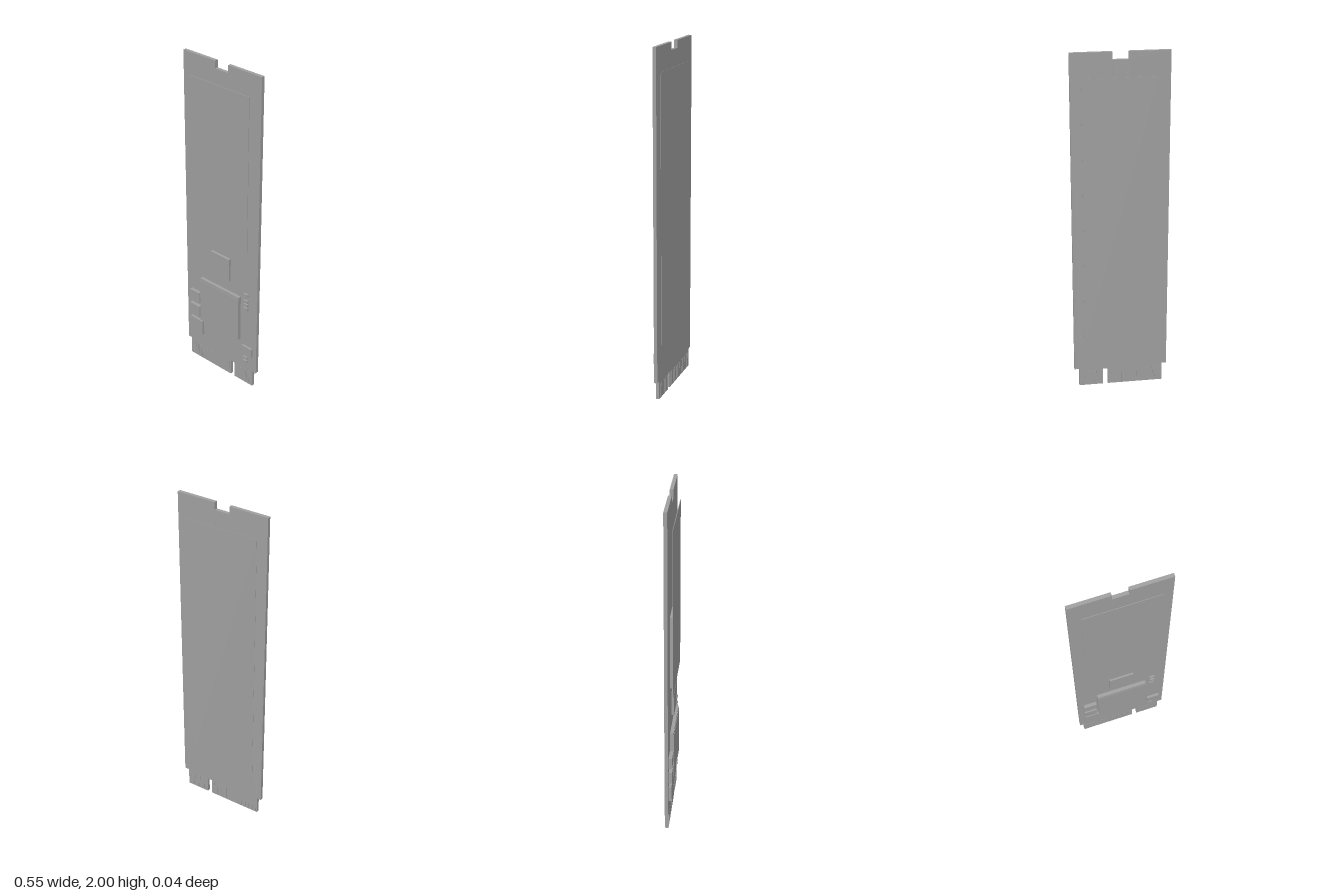
import * as THREE from 'three';

const FRONT = -0.002; // front face of the circuit board
const BACK = -0.022; // rear face of the circuit board

export function createModel() {
  const grey = new THREE.MeshStandardMaterial({ color: 0xa0a0a0 });
  grey.name = 'plain grey';
  const model = new THREE.Group();
  model.name = 'storageCard';

  // Box given by its limits on each axis
  const block = (name, x0, x1, y0, y1, z0, z1, parent = model) => {
    const mesh = new THREE.Mesh(new THREE.BoxGeometry(x1 - x0, y1 - y0, z1 - z0), grey);
    mesh.position.set((x0 + x1) / 2, (y0 + y1) / 2, (z0 + z1) / 2);
    mesh.name = name;
    parent.add(mesh);
  };

  // Circuit board with screw notch, narrowed edge connector and key slot
  const outline = [
    [-0.25, 0], [0.075, 0], [0.075, 0.1], [0.105, 0.1], [0.105, 0], [0.245, 0],
    [0.245, 0.11], [0.273, 0.11], [0.273, 2], [0.043, 2], [0.043, 1.957],
    [-0.046, 1.957], [-0.046, 2], [-0.275, 2], [-0.275, 0.11], [-0.25, 0.11],
  ].map(([x, y]) => new THREE.Vector2(x, y));
  const board = new THREE.Mesh(
    new THREE.ExtrudeGeometry(new THREE.Shape(outline), { depth: FRONT - BACK, bevelEnabled: false }), grey);
  board.position.z = BACK;
  board.name = 'circuitBoard';
  model.add(board);

  // Memory chip and the label lying over it
  block('memoryChip', -0.15, 0.148, 0.905, 1.35, FRONT, 0.018);
  block('frontLabel', -0.212, 0.21, 0.88, 1.88, 0.018, 0.021);
  block('backLabel', -0.212, 0.21, 0.26, 1.86, BACK - 0.0015, BACK);

  // Controller with a thin cover plate
  block('controllerChip', -0.153, 0.149, 0.305, 0.605, FRONT, 0.018);
  block('controllerCover', -0.153, 0.149, 0.305, 0.59, 0.018, 0.02);

  // Smaller chips
  block('cacheChip', -0.074, 0.07, 0.68, 0.828, FRONT, 0.014);
  block('upperInductor', -0.24, -0.163, 0.42, 0.49, FRONT, 0.018);
  block('lowerInductor', -0.24, -0.163, 0.318, 0.392, FRONT, 0.018);
  block('powerChip', -0.24, -0.144, 0.19, 0.29, FRONT, 0.014);
  block('regulatorChip', 0.17, 0.245, 0.215, 0.275, FRONT, 0.012);

  // Column of tiny capacitors
  for (const y of [0.638, 0.594, 0.568, 0.542, 0.188, 0.163]) {
    block('capacitor', 0.178, 0.207, y - 0.008, y + 0.008, FRONT, 0.008);
  }

  // Contact fingers on both faces, leaving out the key slot
  const fingers = new THREE.Group();
  fingers.name = 'contactFingers';
  model.add(fingers);
  for (let x = -0.238; x < 0.235; x += 0.0125) {
    if (x > 0.066 && x < 0.112) continue;
    block('frontContact', x - 0.0044, x + 0.0044, 0.008, 0.09, FRONT, FRONT + 0.001, fingers);
    block('backContact', x - 0.0044, x + 0.0044, 0.008, 0.09, BACK - 0.001, BACK, fingers);
  }
  return model;
}
